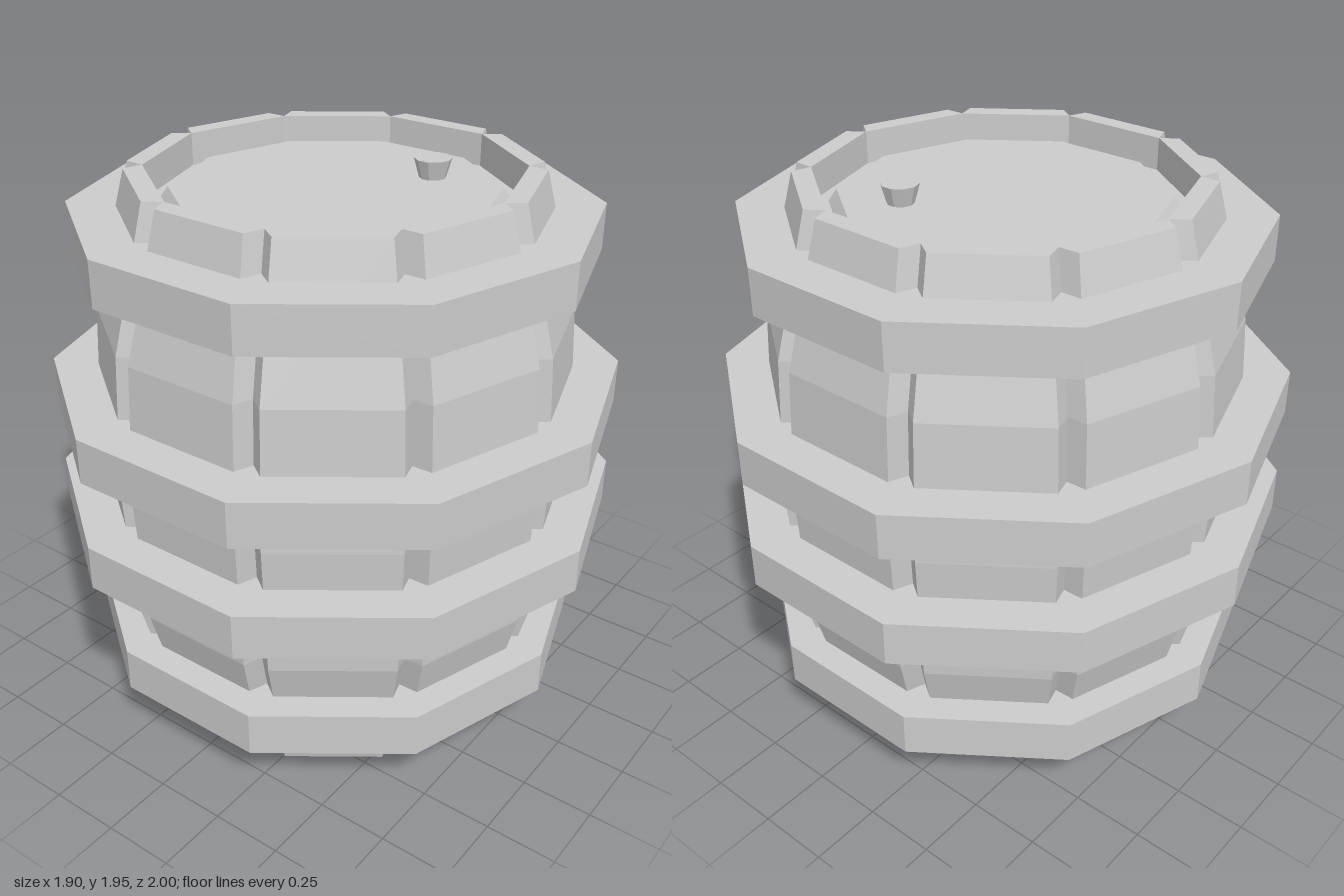
import * as THREE from 'three';

const SIDES = 10;
const STEP = (Math.PI * 2) / SIDES;
const GROOVE_HALF = 0.043;
const GROOVE_DEPTH = 0.07;

const material = new THREE.MeshStandardMaterial({ color: 0xcccccc, flatShading: true });

function addMesh(group, name, geometry) {
  const mesh = new THREE.Mesh(geometry, material);
  mesh.name = name;
  group.add(mesh);
  return mesh;
}

// One 30-point ring: at each corner, the two stave edges with a V groove between them.
function ring(y, radius, depth) {
  const points = [];
  for (let i = 0; i < SIDES; i++) {
    const a = i * STEP;
    const out = new THREE.Vector2(Math.sin(a), Math.cos(a));
    const side = new THREE.Vector2(Math.cos(a), -Math.sin(a));
    const edge = radius - GROOVE_HALF * Math.tan(STEP / 2);
    for (const [r, s] of [[edge, -GROOVE_HALF], [radius - depth, 0], [edge, GROOVE_HALF]]) {
      points.push(new THREE.Vector3(out.x * r + side.x * s, y, out.y * r + side.y * s));
    }
  }
  return points;
}

// Joins consecutive rings into a skin; a ring holding one repeated point closes an end.
function loft(rings) {
  const n = rings[0].length;
  const index = [];
  for (let k = 0; k < rings.length - 1; k++) {
    for (let i = 0; i < n; i++) {
      const j = (i + 1) % n;
      const a = k * n + i, b = k * n + j, c = a + n, d = b + n;
      index.push(a, b, d, a, d, c);
    }
  }
  const geometry = new THREE.BufferGeometry().setFromPoints(rings.flat());
  geometry.setIndex(index);
  const flat = geometry.toNonIndexed();
  flat.computeVertexNormals();
  return flat;
}

export function createModel() {
  const barrel = new THREE.Group();
  barrel.name = 'barrel';

  // Bulging staves with a raised rim and a recessed floor
  const centre = (y) => Array.from({ length: SIDES * 3 }, () => new THREE.Vector3(0, y, 0));
  const profile = [[0, 0.705], [0.49, 0.834], [0.97, 0.862], [1.46, 0.834], [1.945, 0.705]];
  addMesh(barrel, 'staves', loft([
    centre(0),
    ...profile.map(([y, r]) => ring(y, r, GROOVE_DEPTH)),
    ring(1.945, 0.634, 0),
    ring(1.83, 0.634, 0),
    centre(1.83),
  ]));

  // Hoops
  const hoops = [[0.19, 0.9], [0.67, 1], [1.08, 1], [1.66, 0.9]];
  for (const [y, radius] of hoops) {
    const inner = 0.61;
    const section = [[inner, 0], [radius, 0], [radius, 0.16], [inner, 0.16], [inner, 0]];
    const points = section.map(([r, h]) => new THREE.Vector2(r, h));
    addMesh(barrel, 'hoop', new THREE.LatheGeometry(points, SIDES)).position.y = y;
  }

  // Bevelled lid
  addMesh(barrel, 'lid', new THREE.CylinderGeometry(0.555, 0.59, 0.05, SIDES)).position.y = 1.848;

  // Tapered bung
  addMesh(barrel, 'bung', new THREE.CylinderGeometry(0.065, 0.045, 0.07, SIDES)).position.set(0.28, 1.905, 0.2);

  return barrel;
}
